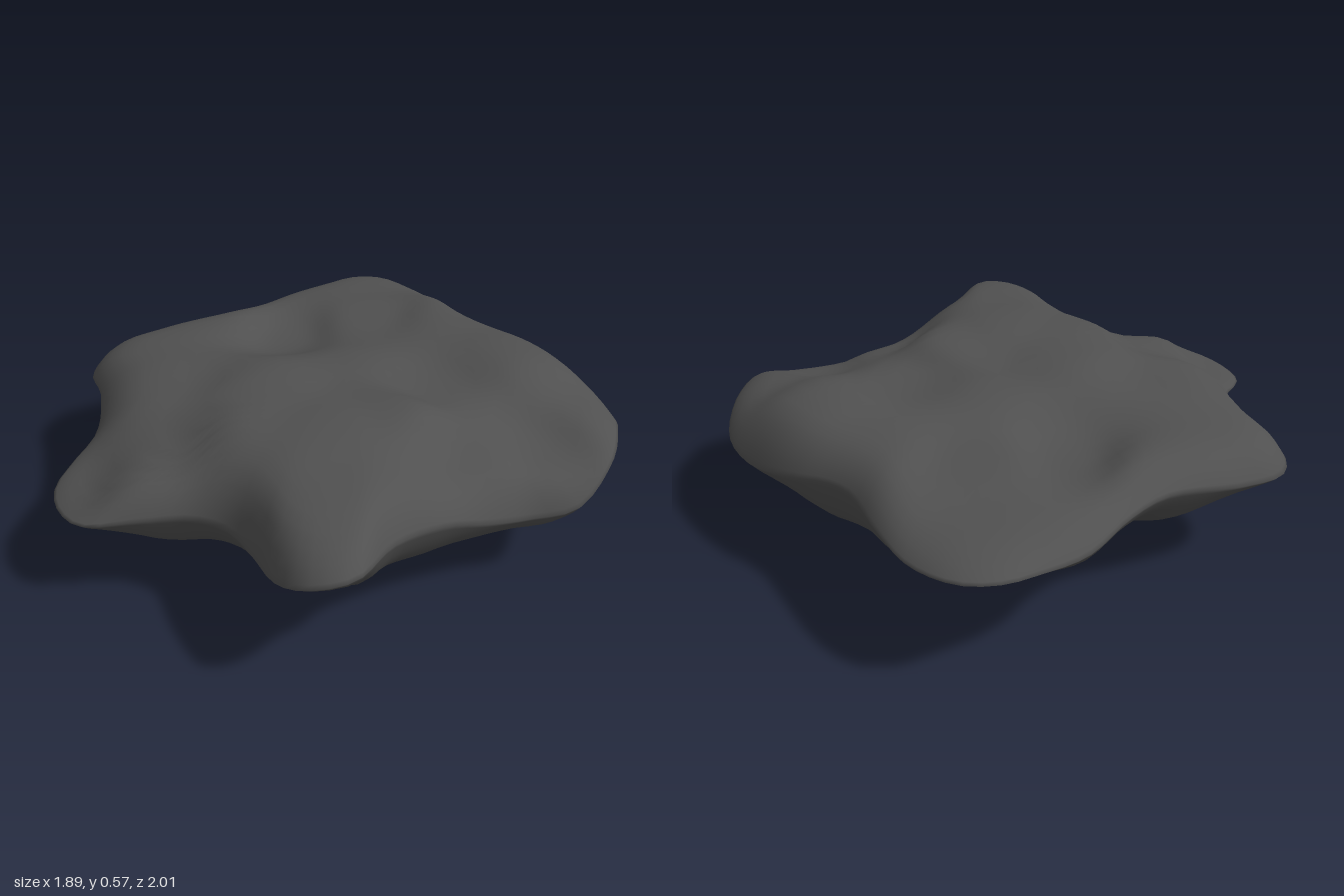
import * as THREE from 'three';
import { mergeVertices } from 'three/addons/utils/BufferGeometryUtils.js';

// Rim of the slab, clockwise from the back: x, y, z
const RIM = [
  [0.07, 0.4, -1], [0.19, 0.4, -0.99], [0.32, 0.39, -0.88], [0.41, 0.4, -0.72], [0.49, 0.42, -0.55],
  [0.57, 0.41, -0.46], [0.65, 0.39, -0.4], [0.75, 0.36, -0.31], [0.85, 0.33, -0.19], [0.92, 0.34, -0.07],
  [0.94, 0.36, 0.05], [0.92, 0.4, 0.18], [0.86, 0.39, 0.36], [0.74, 0.3, 0.48], [0.58, 0.28, 0.51],
  [0.44, 0.31, 0.57], [0.3, 0.37, 0.65], [0.13, 0.42, 0.79], [0, 0.46, 0.99], [-0.13, 0.43, 0.99],
  [-0.22, 0.38, 0.9], [-0.29, 0.35, 0.75], [-0.37, 0.35, 0.63], [-0.49, 0.35, 0.57], [-0.66, 0.34, 0.57],
  [-0.83, 0.32, 0.56], [-0.92, 0.31, 0.46], [-0.95, 0.31, 0.34], [-0.91, 0.33, 0.23], [-0.85, 0.36, 0.11],
  [-0.87, 0.37, -0.13], [-0.93, 0.35, -0.31], [-0.89, 0.35, -0.43], [-0.74, 0.37, -0.52],
  [-0.47, 0.41, -0.62], [-0.34, 0.4, -0.71], [-0.19, 0.38, -0.86], [-0.04, 0.39, -0.95],
];

// Heights of the upper face: x, z, y
const TOP = [
  [0, 0, 0.53], [-0.05, 0.4, 0.57], [-0.03, 0.7, 0.55], [-0.06, 0.94, 0.54], [-0.3, 0.3, 0.56],
  [-0.25, 0.1, 0.56], [0.17, 0.3, 0.56], [-0.6, 0.4, 0.45], [-0.87, 0.4, 0.36], [-0.6, 0, 0.51],
  [-0.8, -0.35, 0.49], [-0.45, -0.52, 0.5], [-0.22, -0.42, 0.43], [0.1, -0.5, 0.49], [0.15, -0.85, 0.46],
  [0.45, -0.46, 0.53], [0.6, -0.1, 0.545], [0.32, 0.05, 0.49], [0.85, 0.12, 0.48], [0.65, 0.38, 0.4],
  [0.38, 0.45, 0.45],
];

// Heights of the belly: x, z, y
const BELLY = [
  [0, 0, 0.03], [-0.08, -0.22, -0.01], [0.15, 0.12, 0.01], [-0.25, 0, 0.05], [0.35, 0, 0.06],
  [0.55, 0, 0.13], [0.75, 0.12, 0.2], [-0.58, 0.08, 0.15], [-0.85, 0.35, 0.26], [0, 0.32, 0.08],
  [-0.05, 0.5, 0.14], [-0.06, 0.7, 0.21], [-0.06, 0.92, 0.33], [0.05, -0.45, 0.12], [0.1, -0.65, 0.25],
  [0.13, -0.9, 0.33], [-0.42, -0.33, 0.17], [0.4, -0.33, 0.15], [0.42, 0.38, 0.16], [-0.45, 0.38, 0.16],
  [-0.78, -0.33, 0.27], [-0.3, -0.56, 0.26], [0.78, -0.12, 0.23],
];

const SEGMENTS = 120;

// Smooth blend of the nearby height points
function heightAt(points, x, z) {
  let sum = 0, weight = 0;
  for (const [px, pz, h] of points) {
    const w = 1 / ((x - px) ** 2 + (z - pz) ** 2 + 0.008) ** 2;
    sum += w * h;
    weight += w;
  }
  return sum / weight;
}

export function createModel() {
  const curve = new THREE.CatmullRomCurve3(RIM.map((p) => new THREE.Vector3(...p)), true);
  const rim = curve.getSpacedPoints(SEGMENTS);

  // Rings run from the belly centre out to the rim and back in over the top
  const inner = [0, 0.08, 0.16, 0.24, 0.32, 0.4, 0.48, 0.56, 0.64, 0.72, 0.8, 0.86, 0.91, 0.95, 0.975, 0.99];
  const rings = [
    ...inner.map((t) => [t, BELLY, 10]),
    [1, TOP, 12],
    ...inner.slice().reverse().map((t) => [t, TOP, 12]),
  ];
  const positions = [], index = [], row = SEGMENTS + 1;
  rings.forEach(([t, points, bluntness], i) => {
    rim.forEach((p, j) => {
      const x = p.x * t, z = p.z * t;
      const y = THREE.MathUtils.lerp(heightAt(points, x, z), p.y, t ** bluntness);
      positions.push(x, Math.max(0, y), z);
      if (i < rings.length - 1 && j < SEGMENTS) {
        const a = i * row + j, b = a + 1, c = a + row, d = c + 1;
        if (i < rings.length - 2) index.push(b, c, d);
        if (i > 0) index.push(a, c, b);
      }
    });
  });

  let geometry = new THREE.BufferGeometry();
  geometry.setAttribute('position', new THREE.Float32BufferAttribute(positions, 3));
  geometry.setIndex(index);
  geometry = mergeVertices(geometry, 1e-4);
  geometry.computeVertexNormals();

  const rock = new THREE.Mesh(geometry, new THREE.MeshStandardMaterial({ color: 0x505050 }));
  rock.name = 'rock';
  const group = new THREE.Group();
  group.name = 'flatRock';
  group.add(rock);
  return group;
}
